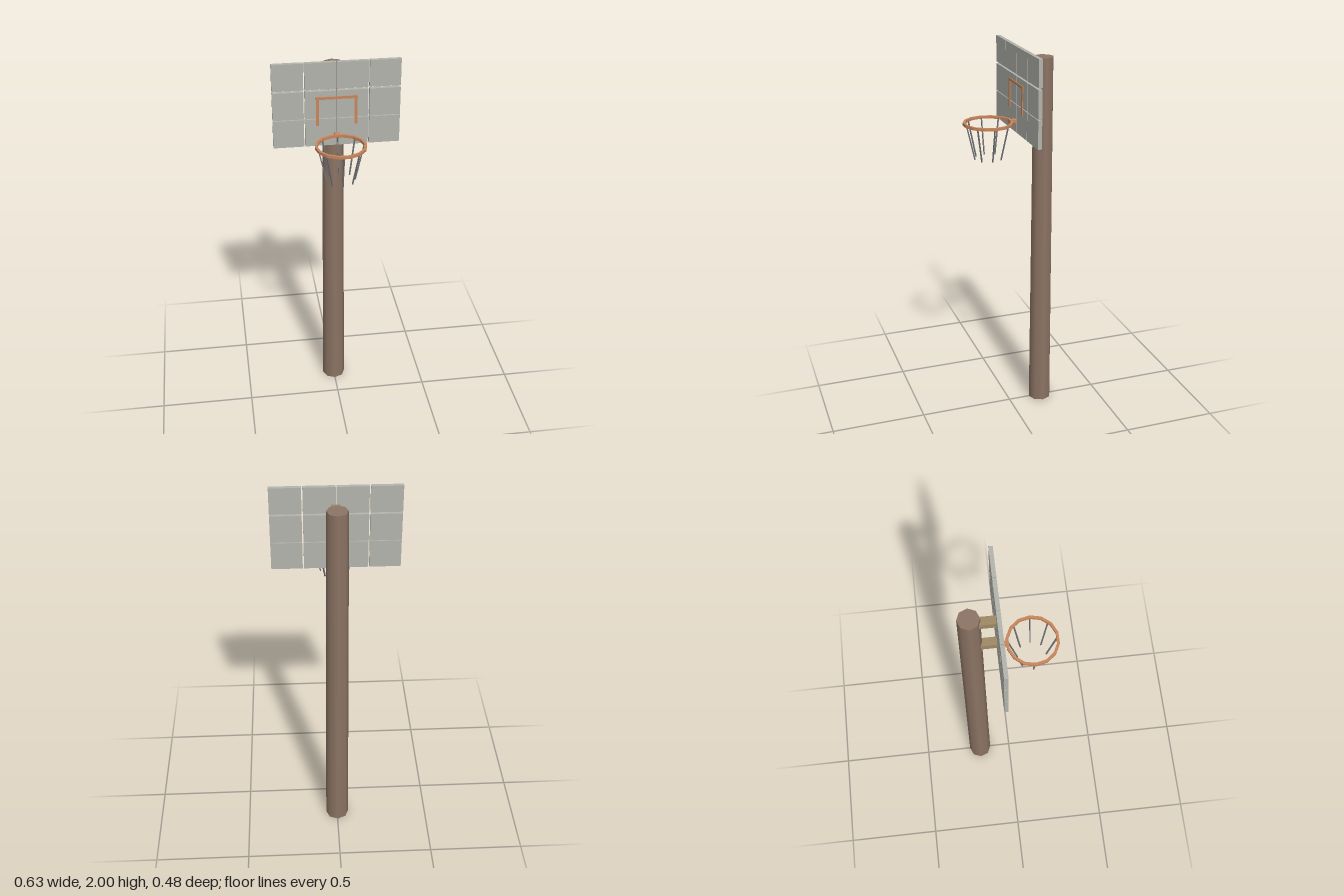
import * as THREE from 'three';

const mat = (name, color) => {
  const m = new THREE.MeshStandardMaterial({ color });
  m.name = name;
  return m;
};

export function createModel() {
  const wood = mat('pole wood', 0x8c7464);
  const tan = mat('bracket wood', 0x9e8964);
  const grey = mat('board grey', 0xb4b4ae);
  const orange = mat('orange metal', 0xc8865c);
  const steel = mat('net steel', 0x707275);

  const hoop = new THREE.Group();
  hoop.name = 'basketballHoop';
  const add = (parent, name, geo, material) => {
    const mesh = new THREE.Mesh(geo, material);
    mesh.name = name;
    parent.add(mesh);
    return mesh;
  };
  // Box given by its limits on each axis
  const box = (parent, name, material, [x0, x1], [y0, y1], [z0, z1]) => {
    const geo = new THREE.BoxGeometry(x1 - x0, y1 - y0, z1 - z0);
    return add(parent, name, geo, material)
      .position.set((x0 + x1) / 2, (y0 + y1) / 2, (z0 + z1) / 2);
  };

  // Tapered eight-sided pole
  add(hoop, 'pole', new THREE.CylinderGeometry(0.053, 0.0625, 1.942, 8), wood)
    .position.set(0, 0.971, -0.179);

  // Two brackets from the pole to the board
  for (const y of [1.633, 1.872]) {
    box(hoop, 'bracket', tan, [-0.021, 0.021], [y, y + 0.038], [-0.15, -0.056]);
  }

  // Backboard of four columns and three rows of panels
  const board = new THREE.Group();
  board.name = 'backboard';
  hoop.add(board);
  const columns = [[-0.317, -0.163], [-0.157, -0.002], [0.002, 0.157], [0.163, 0.317]];
  const rows = [[1.563, 1.707], [1.711, 1.854], [1.863, 2]];
  for (const c of columns) {
    for (const r of rows) box(board, 'panel', grey, c, r, [-0.056, -0.036]);
  }

  // Aiming frame on the board, open at the bottom
  const frame = new THREE.Group();
  frame.name = 'aimingFrame';
  hoop.add(frame);
  const frameZ = [-0.036, -0.031];
  box(frame, 'frameTop', orange, [-0.103, 0.103], [1.811, 1.824], frameZ);
  for (const x of [-0.103, 0.088]) {
    box(frame, 'frameSide', orange, [x, x + 0.015], [1.674, 1.811], frameZ);
  }

  // Fourteen-sided rim and its mount
  const polygon = (r) => Array.from({ length: 14 }, (_, i) => {
    const a = (i / 14) * Math.PI * 2;
    return new THREE.Vector2(r * Math.cos(a), r * Math.sin(a));
  });
  const ring = new THREE.Shape(polygon(0.128));
  ring.holes.push(new THREE.Path(polygon(0.115)));
  const rimGeo = new THREE.ExtrudeGeometry(ring, { depth: 0.014, bevelEnabled: false });
  rimGeo.rotateX(Math.PI / 2);
  add(hoop, 'rim', rimGeo, orange).position.set(0, 1.632, 0.113);
  box(hoop, 'rimMount', orange, [-0.013, 0.013], [1.617, 1.633], [-0.036, 0]);

  // Eight net strands leaning inward
  const net = new THREE.Group();
  net.name = 'net';
  net.position.set(0, 0, 0.113);
  hoop.add(net);
  const up = new THREE.Vector3(0, 1, 0);
  for (let i = 0; i < 8; i++) {
    const arm = new THREE.Group();
    arm.name = 'strandArm';
    arm.rotation.y = (i / 8) * Math.PI * 2;
    net.add(arm);
    const top = new THREE.Vector3(0.113, 1.622, 0);
    const bottom = new THREE.Vector3(0.071, 1.441, 0);
    const dir = top.clone().sub(bottom);
    const strand = add(arm, 'strand', new THREE.BoxGeometry(0.006, dir.length(), 0.006), steel);
    strand.position.copy(top).add(bottom).multiplyScalar(0.5);
    strand.quaternion.setFromUnitVectors(up, dir.normalize());
  }
  return hoop;
}
